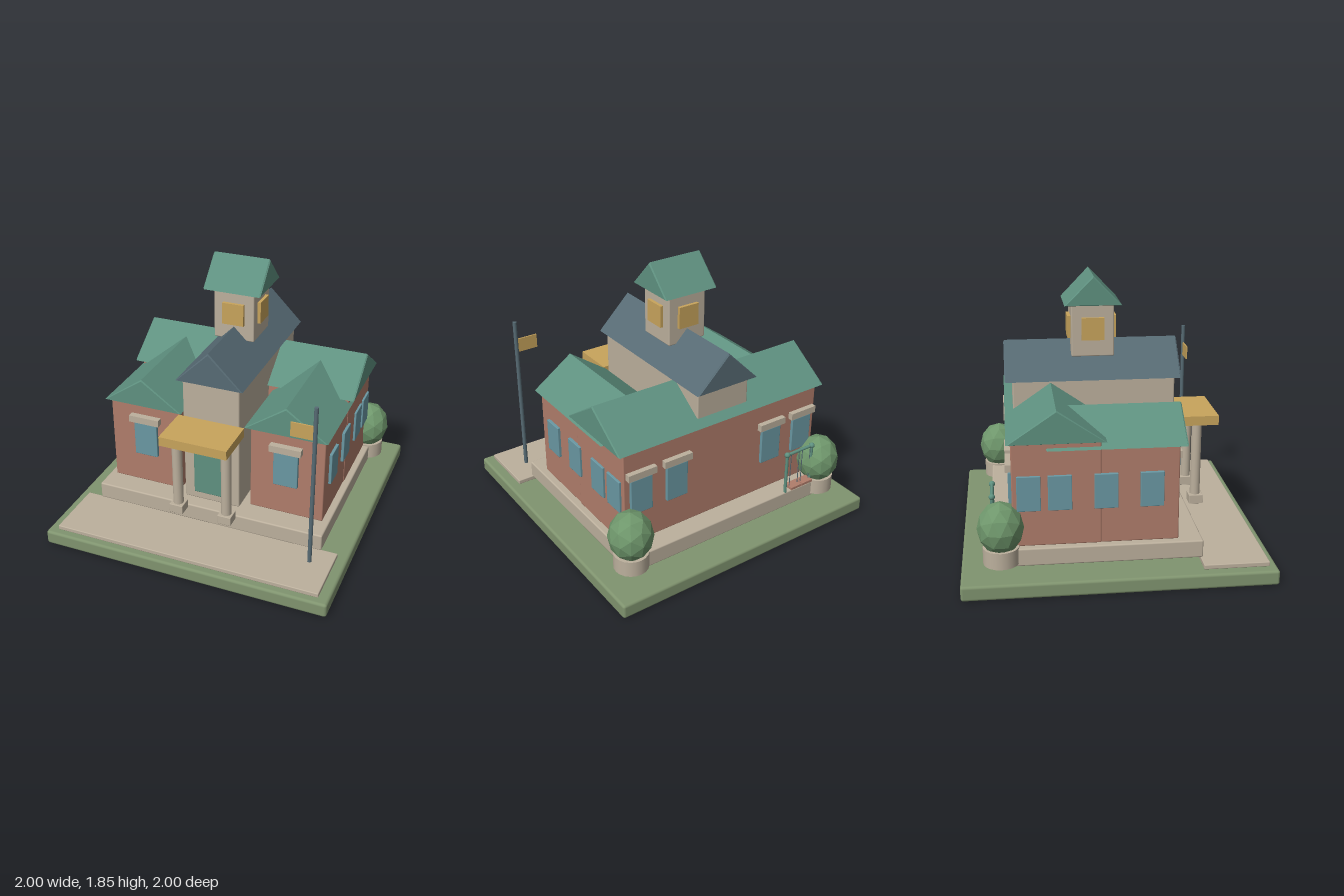
import * as THREE from 'three';
import { RoundedBoxGeometry } from 'three/addons/geometries/RoundedBoxGeometry.js';

function material(name, color, flatShading = false) {
  const m = new THREE.MeshStandardMaterial({ color, flatShading });
  m.name = name;
  return m;
}

export function createModel() {
  const model = new THREE.Group();
  model.name = 'schoolhouse';

  const lawn = material('lawn green', 0x80946f);
  const stone = material('pale stone', 0xbcb09d);
  const brick = material('brick red', 0xb07d6b);
  const green = material('roof green', 0x5f9180);
  const slate = material('slate blue', 0x576b74);
  const gold = material('gold', 0xc8a45c);
  const glass = material('window blue', 0x6a98a3);
  const leaf = material('leaf green', 0x6f976c, true);

  function add(name, geometry, mat, x = 0, y = 0, z = 0, parent = model) {
    const mesh = new THREE.Mesh(geometry, mat);
    mesh.name = name;
    mesh.position.set(x, y, z);
    parent.add(mesh);
    return mesh;
  }

  // Box given by its extents, with optional softened edges
  function box(name, mat, [x0, x1], [y0, y1], [z0, z1], r = 0, parent = model) {
    const size = [x1 - x0, y1 - y0, z1 - z0];
    const geo = r ? new RoundedBoxGeometry(...size, 2, r) : new THREE.BoxGeometry(...size);
    return add(name, geo, mat, (x0 + x1) / 2, (y0 + y1) / 2, (z0 + z1) / 2, parent);
  }

  // Gable roof: solid triangular prism with its ridge along z, or along x
  function gable(name, mat, cx, cz, width, y0, y1, length, alongX = false) {
    const b = 0.008;
    const w = width / 2 - b * 2;
    const shape = new THREE.Shape();
    shape.moveTo(-w, y0 + b);
    shape.lineTo(w, y0 + b);
    shape.lineTo(0, y1 - b * 1.3);
    shape.closePath();
    const geo = new THREE.ExtrudeGeometry(shape, {
      depth: length - 2 * b, bevelEnabled: true, bevelSize: b, bevelThickness: b, bevelSegments: 1,
    });
    geo.translate(0, 0, -(length - 2 * b) / 2);
    if (alongX) geo.rotateY(Math.PI / 2);
    return add(name, geo, mat, cx, 0, cz);
  }

  function around(c, width) {
    return [c - width / 2, c + width / 2];
  }

  // Grounds
  box('lawn', lawn, [-1, 1], [0, 0.1], [-1, 1], 0.018);
  box('forecourt', stone, [-0.93, 0.93], [0.1, 0.132], [0.525, 0.95], 0.006);
  box('foundation', stone, [-0.82, 0.82], [0.132, 0.25], [-0.805, 0.54], 0.01);

  // Main block and central hall
  box('mainBlock', brick, [-0.777, 0.777], [0.25, 0.935], [-0.67, -0.11], 0.008);
  gable('mainRoof', green, 0, -0.388, 0.63, 0.93, 1.15, 1.64, true);
  box('centralHall', stone, [-0.2, 0.2], [0.25, 1.168], [-0.64, 0.445], 0.01);
  gable('hallRoof', slate, 0, -0.103, 0.48, 1.162, 1.4, 1.175);

  // Bell tower
  const tz = -0.1;
  box('tower', stone, [-0.142, 0.142], [1.307, 1.66], around(tz, 0.284), 0.008);
  gable('towerRoof', green, 0, tz, 0.39, 1.653, 1.853, 0.4, true);
  for (const s of [-1, 1]) {
    box('towerWindow', gold, around(0, 0.15), [1.42, 1.57], around(tz + s * 0.152, 0.024));
    box('towerWindow', gold, around(s * 0.152, 0.024), [1.42, 1.57], around(tz, 0.15));
  }

  // Wings, mirrored left and right
  for (const s of [-1, 1]) {
    box('wing', brick, around(s * 0.515, 0.515), [0.25, 0.885], [-0.3, 0.385], 0.008);
    gable('wingRoof', green, s * 0.512, -0.008, 0.58, 0.878, 1.087, 0.885);
    box('frontWindow', glass, around(s * 0.51, 0.17), [0.48, 0.73], [0.375, 0.408], 0.004);
    box('frontLintel', stone, around(s * 0.51, 0.22), [0.742, 0.79], [0.375, 0.43]);

    for (const z of [0.21, -0.08, -0.37, -0.565]) {
      box('sideWindow', glass, around(s * 0.775, 0.034), [0.49, 0.72], around(z, 0.15), 0.004);
    }
    for (const x of [0.385, 0.655]) {
      box('backWindow', glass, around(s * x, 0.16), [0.48, 0.73], [-0.69, -0.66], 0.004);
      box('backLintel', stone, around(s * x, 0.21), [0.742, 0.79], [-0.706, -0.66]);
    }
  }

  // Entrance porch
  box('door', green, [-0.12, 0.12], [0.318, 0.82], [0.44, 0.47], 0.006);
  box('porchCanopy', gold, [-0.235, 0.235], [0.825, 0.89], [0.445, 0.75]);
  for (const s of [-1, 1]) {
    add('porchColumn', new THREE.CylinderGeometry(0.035, 0.035, 0.53, 16), stone, s * 0.175, 0.565, 0.61);
    box('columnBase', stone, around(s * 0.175, 0.096), [0.246, 0.31], around(0.61, 0.096), 0.004);
  }

  // Flagpole
  add('flagpole', new THREE.CylinderGeometry(0.014, 0.014, 1.145, 12), slate, 0.787, 0.724, 0.69);
  box('flag', gold, [0.63, 0.777], [1.067, 1.165], around(0.69, 0.01));

  // Potted bushes at the back corners
  for (const s of [-1, 1]) {
    add('planter', new THREE.CylinderGeometry(0.115, 0.115, 0.11, 20), stone, s * 0.78, 0.205, -0.745);
    const bush = add('bush', new THREE.IcosahedronGeometry(0.148, 1), leaf, s * 0.78, 0.385, -0.745);
    bush.scale.y = 1.17;
  }

  // Swing set behind the school
  const swings = new THREE.Group();
  swings.name = 'swingSet';
  model.add(swings);
  const sz = -0.793;
  const left = -0.67, right = -0.45;
  const bar = new THREE.CylinderGeometry(0.011, 0.011, right - left, 10).rotateZ(Math.PI / 2);
  add('swingBar', bar, green, (left + right) / 2, 0.548, sz, swings);
  for (const x of [left, right]) {
    add('swingPost', new THREE.CylinderGeometry(0.011, 0.011, 0.41, 10), green, x, 0.343, sz, swings);
    add('swingPostCap', new THREE.SphereGeometry(0.02, 12, 8), green, x, 0.548, sz, swings);
  }
  for (const x of [-0.622, -0.522]) {
    box('swingSeat', brick, around(x, 0.092), [0.27, 0.288], around(sz, 0.07), 0, swings);
    for (const s of [-1, 1]) {
      add('swingRope', new THREE.CylinderGeometry(0.003, 0.003, 0.26, 6), slate, x + s * 0.036, 0.415, sz, swings);
    }
  }

  return model;
}
